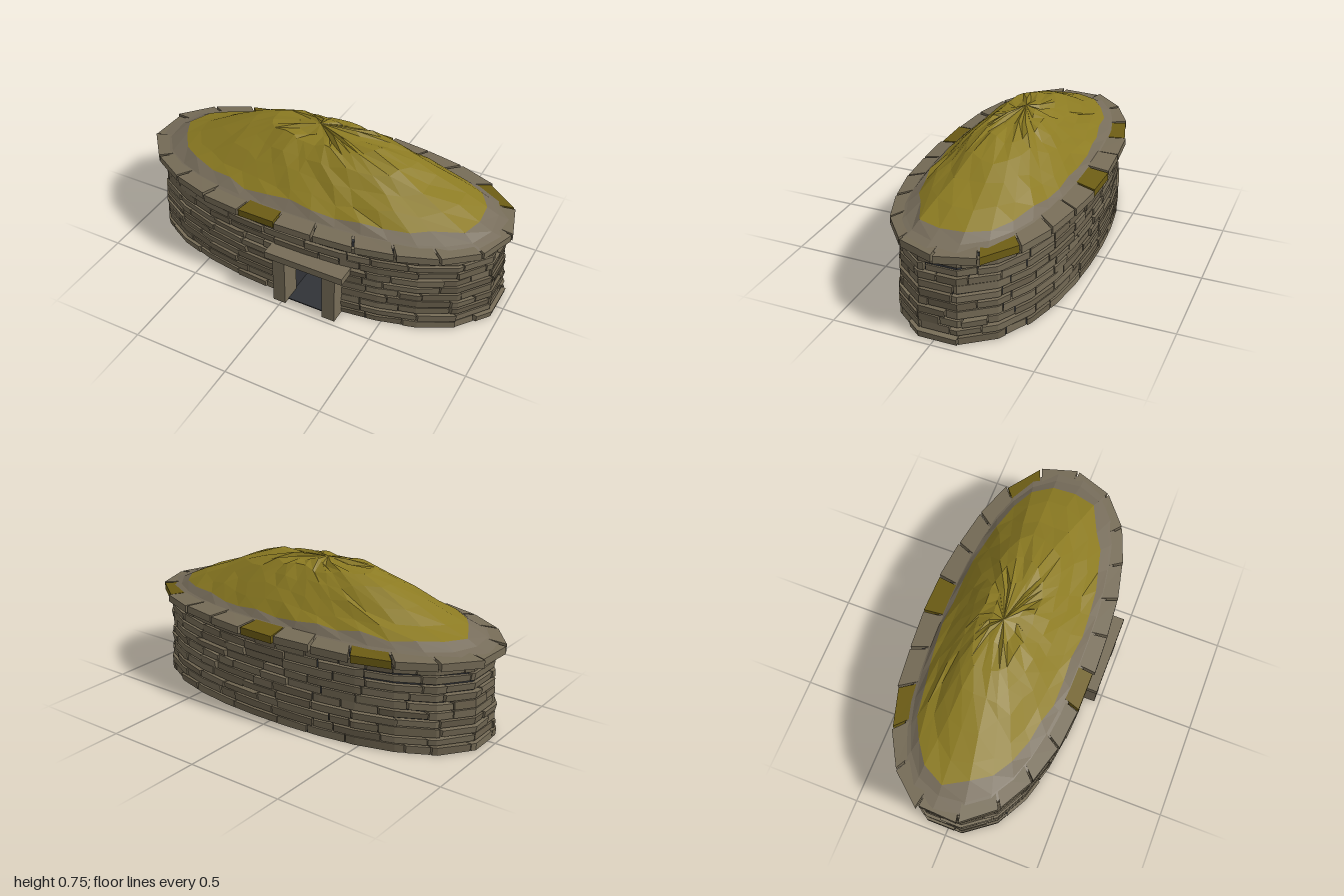
import * as THREE from 'three';

const material = (name, color) => {
  const m = new THREE.MeshStandardMaterial({ color, flatShading: true });
  m.name = name;
  return m;
};

// Small seeded random generator
let seed = 7;
const rand = (lo = 0, hi = 1) => {
  seed = (seed * 16807) % 2147483647;
  return lo + (hi - lo) * (seed / 2147483647);
};

// Rounded oval as n points at equal spacing, running from +x by way of the front
function oval(a, b, power, n, offset) {
  const fine = [];
  let total = 0;
  const lengths = [0];
  for (let i = 0; i <= 1440; i++) {
    const t = (i / 1440) * Math.PI * 2, c = Math.cos(t), s = Math.sin(t);
    const p = new THREE.Vector2(
      a * Math.sign(c) * Math.abs(c) ** (2 / power),
      b * Math.sign(s) * Math.abs(s) ** (2 / power));
    if (i) lengths.push(total += p.distanceTo(fine[i - 1]));
    fine.push(p);
  }
  const points = [];
  for (let i = 0; i < n; i++) {
    const goal = (total * (i + offset)) / n;
    points.push(fine[Math.max(0, lengths.findIndex((l) => l >= goal))]);
  }
  // Point at any place along the polygon
  const at = (u) => {
    const i = Math.floor(u), m = (k) => ((k % n) + n) % n;
    return points[m(i)].clone().lerp(points[m(i + 1)], u - i);
  };
  return { points, at, n, step: total / n };
}

const quad = (out, a, b, c, d) => {
  for (const p of [a, b, c, a, c, d]) out.push(...p);
};

// Closed block through four-cornered sections: outer low, outer high, inner high, inner low
function block(out, sections) {
  for (let i = 0; i + 1 < sections.length; i++) {
    const s = sections[i], e = sections[i + 1];
    for (let k = 0; k < 4; k++) quad(out, s[k], s[(k + 1) % 4], e[(k + 1) % 4], e[k]);
  }
  const s = sections[0], e = sections[sections.length - 1];
  quad(out, s[3], s[2], s[1], s[0]);
  quad(out, ...e);
}

export function createModel() {
  seed = 7;
  const model = new THREE.Group();
  const stone = material('stone', 0x766c57);
  const darkStone = material('dark stone', 0x6d634f);
  const earth = material('grey earth', 0x776d5b);
  const moss = material('dry moss', 0x8c7b22);
  const mossStone = material('mossy stone', 0x6c5c14);
  const dark = material('dark gap', 0x313337);

  const add = (name, geometry, mat) => {
    const mesh = new THREE.Mesh(geometry, mat);
    mesh.name = name;
    model.add(mesh);
    return mesh;
  };
  const addFaces = (name, positions, mat) => {
    const g = new THREE.BufferGeometry();
    g.setAttribute('position', new THREE.Float32BufferAttribute(positions, 3));
    g.computeVertexNormals();
    add(name, g, mat);
  };
  const addBox = (name, x0, x1, y0, y1, z0, z1, mat) => {
    const g = new THREE.BoxGeometry(x1 - x0, y1 - y0, z1 - z0);
    g.translate((x0 + x1) / 2, (y0 + y1) / 2, (z0 + z1) / 2);
    add(name, g, mat);
  };

  const midZ = -0.018;
  const wall = oval(0.97, 0.432, 2.3, 24, 0.5);

  // Dark core behind the stones, notched for the doorway
  const corePoints = wall.points.map((p) => new THREE.Vector2(p.x * 0.963, p.y * 0.93 + midZ));
  const notched = [];
  let cut = false;
  for (const p of corePoints) {
    if (p.y > 0 && p.x < 0.235 && !cut) {
      cut = true;
      for (const [x, z] of [[0.235, 0.384], [0.235, 0.18], [0.015, 0.18], [0.015, 0.384]])
        notched.push(new THREE.Vector2(x, z));
    }
    if (!(p.y > 0 && p.x > 0.01 && p.x < 0.24)) notched.push(p);
  }
  const slabOf = (points, y0, y1) => {
    const g = new THREE.ExtrudeGeometry(new THREE.Shape(points), { depth: y1 - y0, bevelEnabled: false });
    return g.rotateX(Math.PI / 2).translate(0, y1, 0);
  };
  add('lowerCore', slabOf(notched, 0.004, 0.262), dark);
  add('upperCore', slabOf(corePoints, 0.262, 0.45), dark);
  add('base', slabOf(wall.points.map((p) => new THREE.Vector2(p.x * 0.995, p.y * 0.985 + midZ)), 0, 0.004), dark);

  // Ten courses of dry stone, bending with the wall and leaving the doorway open
  const tones = [[], []];
  const courses = 10, rise = 0.043;
  const doorU = wall.n / 4 - 0.5 - 0.128 / wall.step, doorHalf = 0.14 / wall.step;
  for (let c = 0; c < courses; c++) {
    const open = c < 6;
    let u = open ? doorU + doorHalf : rand(0, 2);
    const end = open ? doorU - doorHalf + wall.n : u + wall.n;
    const taper = 1 - 0.028 * (c / (courses - 1));
    while (u < end - 0.01) {
      let next = u + rand(0.55, 1.6);
      if (end - next < 0.4) next = end;
      const stops = [u + 0.015];
      for (let k = Math.floor(u) + 1; k < next - 0.02; k++) if (k > u + 0.02) stops.push(k);
      stops.push(next - 0.015);
      const low = c * rise + (c ? rand(0, 0.004) : 0.001);
      const high = (c + 1) * rise - rand(0.001, 0.009);
      const out = rand(-0.006, 0.006), lean = rand(-0.002, 0.008), skew = rand(-0.003, 0.003);
      const sections = stops.map((s, i) => {
        const p = wall.at(s), r = p.length(), y = i ? skew : -skew;
        const ring = (d, h) => {
          const k = taper + d / r;
          return [p.x * k, h, p.y * k + midZ];
        };
        return [ring(out, low), ring(out + lean, high + y), ring(-0.06, high + y), ring(-0.06, low)];
      });
      block(tones[rand() < 0.6 ? 0 : 1], sections);
      u = next;
    }
  }
  addFaces('wallStones', tones[0], stone);
  addFaces('darkWallStones', tones[1], darkStone);

  // Overhanging eave slabs, four of them mossy
  const eave = oval(0.992, 0.46, 2.3, 23, 0);
  const mossySpots = [[-0.55, -0.4], [0.1, -0.45], [0.78, -0.3], [-0.23, 0.43]]
    .map(([x, z]) => new THREE.Vector2(x, z - midZ));
  const nearest = mossySpots.map((spot) => {
    let best = 0;
    for (let i = 1; i < eave.n; i++)
      if (eave.at(i + 0.5).distanceTo(spot) < eave.at(best + 0.5).distanceTo(spot)) best = i;
    return best;
  });
  const plain = [], mossy = [];
  for (let i = 0; i < eave.n; i++) {
    const grow = rand(0.99, 1.008), drop = rand(-0.004, 0.004), twist = rand(-0.008, 0.008);
    const sections = [i + 0.03, i + 0.97].map((s, side) => {
      const p = eave.at(s);
      const k = grow + (side ? twist : -twist);
      const inX = p.x * 0.87, inZ = p.y * 0.76 + midZ;
      return [
        [p.x * k, 0.428 + drop, p.y * k + midZ], [p.x * k, 0.466 + drop, p.y * k + midZ],
        [inX, 0.482 + drop, inZ], [inX, 0.436 + drop, inZ]];
    });
    block(nearest.includes(i) ? mossy : plain, sections);
  }
  addFaces('eaveSlabs', plain, stone);
  addFaces('mossyEaveSlabs', mossy, mossStone);

  // Lumpy roof mound: an earth skirt with a ragged edge, then moss
  const mound = oval(0.9, 0.365, 2.4, 32, 0.25);
  const profile = [[1.07, -0.06], [1, 0.0], [0.91, 0.13], [0.79, 0.29], [0.65, 0.5],
    [0.5, 0.72], [0.35, 0.89], [0.18, 0.95], [0, 1.02]];
  const rings = profile.map(([t, h], r) => mound.points.map((p, i) => {
    if (t === 0) return [-0.05, 0.755, -0.04];
    const rough = r < 2 ? 0 : 1;
    const k = t + rough * rand(-0.025, 0.025);
    const y = 0.482 + 0.265 * h - rough * (k - t) * 0.4 + rough * rand(-0.011, 0.011);
    const slide = rough * rand(-0.02, 0.02);
    return [p.x * k + slide, y, p.y * k - 0.01 - 0.03 * Math.max(0, h)];
  }));
  const skirt = [], cover = [];
  for (let r = 0; r + 1 < rings.length; r++)
    for (let i = 0; i < mound.n; i++) {
      const j = (i + 1) % mound.n;
      quad(r < 2 ? skirt : cover, rings[r][i], rings[r + 1][i], rings[r + 1][j], rings[r][j]);
    }
  addFaces('roofSkirt', skirt, earth);
  addFaces('mossRoof', cover, moss);

  // Stone door frame
  addBox('rightJamb', -0.045, 0.022, 0, 0.266, 0.36, 0.474, stone);
  addBox('leftJamb', 0.228, 0.298, 0, 0.266, 0.36, 0.474, stone);
  addBox('lintel', -0.085, 0.34, 0.264, 0.302, 0.36, 0.48, stone);
  addBox('threshold', 0.02, 0.23, 0, 0.006, 0.2, 0.44, dark);

  return model;
}
